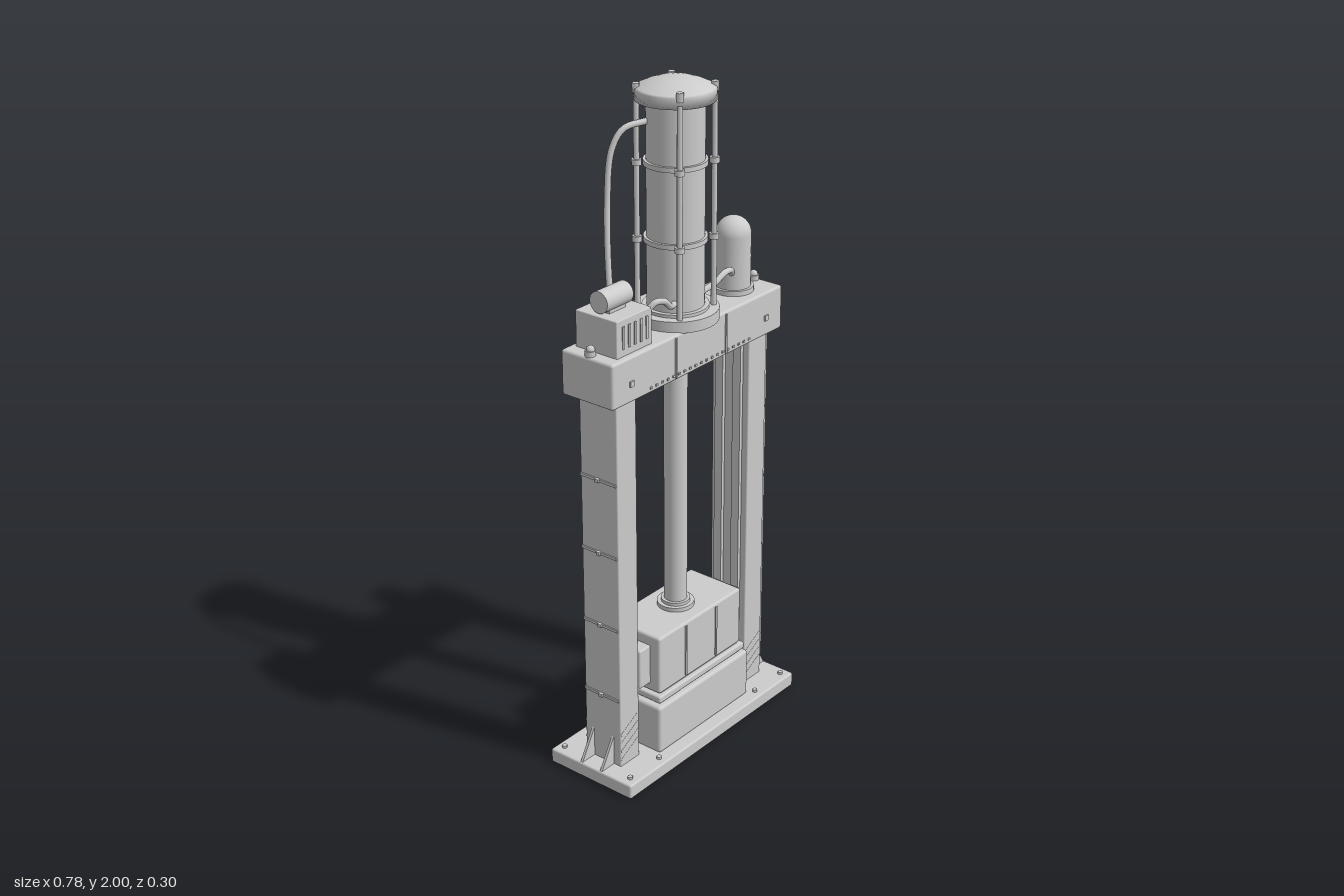
import * as THREE from 'three';
import { RoundedBoxGeometry } from 'three/addons/geometries/RoundedBoxGeometry.js';

export function createModel() {
  const press = new THREE.Group();
  press.name = 'hydraulicPress';
  const steel = new THREE.MeshStandardMaterial({ color: 0xcccccc });
  steel.name = 'light grey steel';

  const add = (name, geometry, x = 0, y = 0, z = 0) => {
    const mesh = new THREE.Mesh(geometry, steel);
    mesh.name = name;
    mesh.position.set(x, y, z);
    press.add(mesh);
    return mesh;
  };
  // Boxes given by their min and max on each axis
  const box = (name, x0, x1, y0, y1, z0, z1, bevel = 0) => {
    const s = [x1 - x0, y1 - y0, z1 - z0];
    const g = bevel ? new RoundedBoxGeometry(...s, 2, bevel) : new THREE.BoxGeometry(...s);
    return add(name, g, (x0 + x1) / 2, (y0 + y1) / 2, (z0 + z1) / 2);
  };
  // Upright cylinder from y0 to y1
  const rod = (name, r, y0, y1, x = 0, z = 0, sides = 32) =>
    add(name, new THREE.CylinderGeometry(r, r, y1 - y0, sides), x, (y0 + y1) / 2, z);
  const hose = (name, points, r = 0.009) => {
    const curve = new THREE.CatmullRomCurve3(points.map(p => new THREE.Vector3(...p)));
    add(name, new THREE.TubeGeometry(curve, 40, r, 10), 0, 0, 0);
  };
  const sides = [-1, 1];

  // Base plate and anvil
  box('basePlate', -0.39, 0.39, 0, 0.045, -0.152, 0.152, 0.006);
  for (const x of [-0.36, -0.23, 0.23, 0.36])
    for (const s of sides) rod('baseBolt', 0.008, 0.04, 0.053, x, s * 0.125, 6);
  box('anvil', -0.21, 0.21, 0.043, 0.198, -0.112, 0.112, 0.01);
  box('anvilPlate', -0.2, 0.2, 0.205, 0.228, -0.104, 0.104, 0.006);
  box('anvilSpacer', -0.18, 0.18, 0.19, 0.235, -0.09, 0.09);

  // Gusset at the foot of each column
  const tri = new THREE.Shape();
  tri.moveTo(0, 0);
  tri.lineTo(0.055, 0);
  tri.lineTo(0, 0.095);
  const gusset = new THREE.ExtrudeGeometry(tri, { depth: 0.008, bevelEnabled: false });
  gusset.translate(0, 0, -0.004);

  // Columns with guide rails, seams, gussets and foot stripes
  for (const s of sides) {
    const span = (name, a, b, y0, y1, z0, z1, bevel) =>
      box(name, Math.min(s * a, s * b), Math.max(s * a, s * b), y0, y1, z0, z1, bevel);
    span('column', 0.25, 0.332, 0.04, 1.2, -0.065, 0.067, 0.004);
    for (const z of [-0.032, 0.032])
      span('guideRail', 0.238, 0.255, 0.045, 1.195, z - 0.014, z + 0.014);
    for (const y of [0.265, 0.495, 0.725, 0.95]) {
      span('columnBand', 0.325, 0.336, y - 0.004, y + 0.004, -0.063, 0.063);
      span('columnStud', 0.33, 0.342, y - 0.005, y + 0.005, -0.006, 0.006);
    }
    for (const z of [-0.037, 0.037]) {
      const g = add('gusset', gusset, s * 0.331, 0.044, z);
      if (s < 0) g.rotation.y = Math.PI;
    }
    for (const f of sides)
      for (let i = 0; i < 4; i++) {
        const stripe = add('footStripe', new THREE.BoxGeometry(0.085, 0.01, 0.003),
          s * 0.291, 0.085 + i * 0.028, f * 0.066);
        stripe.rotation.z = 0.5;
      }
  }
  // Cable duct on one column
  box('cableDuct', 0.33, 0.344, 0.1, 1.195, 0.022, 0.06);

  // Crosshead beam
  box('topBeam', -0.372, 0.372, 1.193, 1.325, -0.09, 0.09, 0.008);
  for (const f of sides) {
    for (const x of [-0.11, 0.11])
      box('beamRib', x - 0.003, x + 0.003, 1.2, 1.318, f * 0.091 - 0.003, f * 0.091 + 0.003);
    for (const x of [-0.295, 0.295])
      box('beamTab', x - 0.008, x + 0.008, 1.24, 1.256, f * 0.091 - 0.004, f * 0.091 + 0.004);
    for (let i = 0; i < 19; i++)
      box('beamRivet', -0.22 + i * 0.024, -0.212 + i * 0.024, 1.206, 1.212, f * 0.09 - 0.003, f * 0.09 + 0.003);
    rod('columnNut', 0.015, 1.32, 1.34, f * 0.355, 0, 16);
    add('columnNutCap', new THREE.SphereGeometry(0.012, 16, 10), f * 0.355, 1.342, 0);
  }

  // Main cylinder: flange, barrel, bands, cap and tie rods
  rod('cylinderFlange', 0.121, 1.322, 1.355, 0, 0, 48);
  rod('cylinderCollar', 0.093, 1.35, 1.364, 0, 0, 48);
  rod('cylinderBarrel', 0.08, 1.355, 1.95, 0, 0, 48);
  for (const y of [1.555, 1.77]) rod('barrelBand', 0.088, y - 0.007, y + 0.007, 0, 0, 48);
  const cap = [[0, 1.94], [0.11, 1.94], [0.11, 1.97], [0.104, 1.974], [0.08, 1.985], [0.05, 1.995], [0.025, 1.999], [0, 2]];
  const capPoints = cap.map(p => new THREE.Vector2(...p));
  add('cylinderCap', new THREE.LatheGeometry(capPoints, 48));
  for (const x of sides)
    for (const z of sides) {
      rod('tieRod', 0.008, 1.35, 1.95, x * 0.074, z * 0.074, 12);
      rod('tieRodNut', 0.011, 1.96, 1.985, x * 0.074, z * 0.074, 6);
      for (const y of [1.555, 1.77]) rod('tieRodClip', 0.014, y - 0.008, y + 0.008, x * 0.074, z * 0.074, 12);
    }

  // Piston rod and moving ram block
  rod('pistonRod', 0.034, 0.41, 1.33);
  rod('rodCollar', 0.055, 0.41, 0.428);
  rod('rodCollarTop', 0.043, 0.42, 0.438);
  box('ramBlock', -0.19, 0.19, 0.23, 0.415, -0.095, 0.095, 0.008);
  for (const s of sides) {
    box('guideShoe', s * 0.21 - 0.026, s * 0.21 + 0.026, 0.255, 0.382, -0.06, 0.06, 0.006);
    for (const x of [-0.07, 0.07])
      box('ramRib', x - 0.003, x + 0.003, 0.24, 0.405, s * 0.095 - 0.004, s * 0.095 + 0.004);
  }

  // Pump unit with motor and cooling slats
  box('pumpBox', -0.332, -0.188, 1.322, 1.43, -0.072, 0.072, 0.003);
  for (const f of sides)
    for (let i = 0; i < 5; i++)
      box('pumpSlat', -0.31 + i * 0.024, -0.302 + i * 0.024, 1.345, 1.41, f * 0.072 - 0.003, f * 0.072 + 0.003);
  box('motorFoot', -0.3, -0.235, 1.425, 1.445, -0.02, 0.02);
  const motor = add('motor', new THREE.CylinderGeometry(0.031, 0.031, 0.105, 32), -0.267, 1.463, 0);
  motor.rotation.z = Math.PI / 2;

  // Accumulator bottle
  rod('accumulatorBase', 0.06, 1.322, 1.34, 0.257);
  rod('accumulatorBody', 0.051, 1.335, 1.494, 0.257);
  add('accumulatorDome', new THREE.SphereGeometry(0.051, 32, 12, 0, Math.PI * 2, 0, Math.PI / 2), 0.257, 1.494, 0);

  // Hydraulic hoses
  hose('upperHose', [[-0.21, 1.41, -0.05], [-0.205, 1.48, -0.062], [-0.178, 1.68, -0.088],
    [-0.155, 1.82, -0.09], [-0.125, 1.872, -0.075], [-0.06, 1.885, -0.045]]);
  hose('lowerHose', [[-0.195, 1.415, 0.06], [-0.175, 1.437, 0.073], [-0.145, 1.432, 0.078],
    [-0.11, 1.405, 0.07], [-0.06, 1.39, 0.045]]);
  hose('accumulatorHose', [[0.225, 1.385, 0.02], [0.19, 1.412, 0.042], [0.145, 1.42, 0.055],
    [0.105, 1.402, 0.053], [0.06, 1.39, 0.045]]);

  return press;
}
